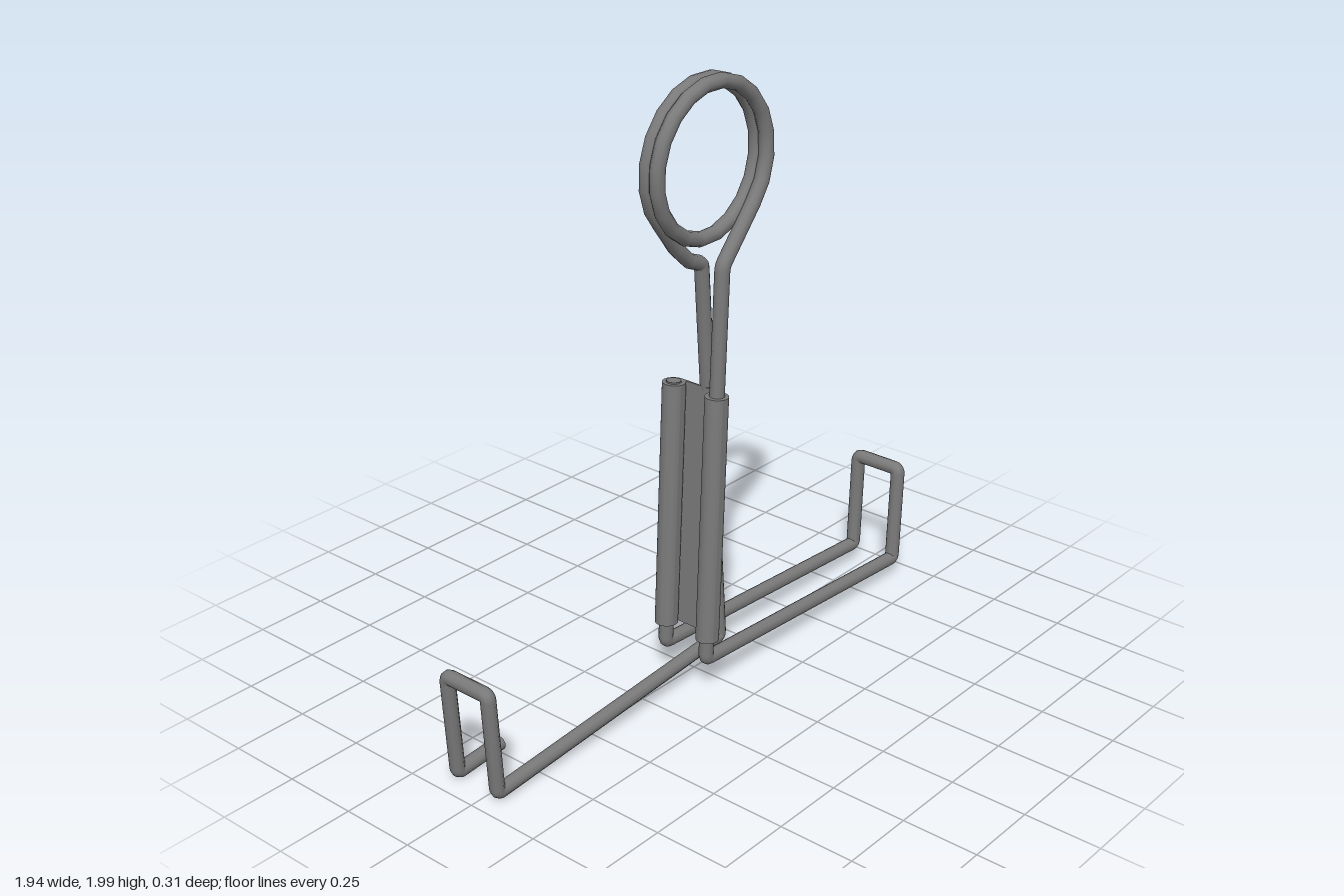
import * as THREE from 'three';
import { toCreasedNormals } from 'three/addons/utils/BufferGeometryUtils.js';

const material = new THREE.MeshStandardMaterial({ color: 0x7a7a7a });
const V = (x, y, z) => new THREE.Vector3(x, y, z);
const WIRE = 0.0235;

// Path through a list of points, one tube ring per point
class PointPath extends THREE.Curve {
  constructor(points) { super(); this.points = points; }
  getPointAt(u, target = new THREE.Vector3()) {
    return target.copy(this.points[Math.round(u * (this.points.length - 1))]);
  }
  getPoint(u, target) { return this.getPointAt(u, target); }
  getTangentAt(u, target = new THREE.Vector3()) {
    const p = this.points, i = Math.round(u * (p.length - 1));
    const here = p[i], before = p[Math.max(i - 1, 0)], after = p[Math.min(i + 1, p.length - 1)];
    const a = here.clone().sub(before).normalize(), b = after.clone().sub(here).normalize();
    return target.copy(a.add(b)).normalize();
  }
}

// Replace sharp corners by small bends
function bend(points, size) {
  const out = [points[0]];
  for (let i = 1; i < points.length - 1; i++) {
    const p = points[i];
    const a = points[i - 1].clone().sub(p), b = points[i + 1].clone().sub(p);
    if (Math.PI - a.angleTo(b) < 0.4) { out.push(p); continue; }
    const from = p.clone().addScaledVector(a.clone().normalize(), Math.min(size, a.length() * 0.4));
    const to = p.clone().addScaledVector(b.clone().normalize(), Math.min(size, b.length() * 0.4));
    out.push(...new THREE.QuadraticBezierCurve3(from, p, to).getPoints(5));
  }
  out.push(points[points.length - 1]);
  return out;
}

function addMesh(parent, geometry, name) {
  const mesh = new THREE.Mesh(geometry, material);
  mesh.name = name;
  parent.add(mesh);
  return mesh;
}

export function createModel() {
  const group = new THREE.Group();
  group.name = 'wireStand';

  // Two-turn coil, from the front leg round to the back leg
  const coil = [], steps = 35, start = -Math.PI / 4, sweep = Math.PI * 3.5;
  for (let i = 0; i <= steps; i++) {
    const t = i / steps, a = start + sweep * t;
    coil.push(V(-0.037 + 0.234 * Math.cos(a), 1.742 + 0.234 * Math.sin(a), 0.118 - 0.068 * t));
  }

  // One continuous wire: double right arm, front leg, coil, back leg, left arm with hook
  const points = bend([
    V(-0.037, 1.015, -0.049), V(-0.082, 0.12, -0.049),
    V(0.93, 0.062, -0.049), V(0.945, 0.4, -0.049),
    V(0.945, 0.4, 0.118), V(0.93, 0.062, 0.118),
    V(-0.082, 0.12, 0.118), V(-0.015, 1.42, 0.122),
    ...coil,
    V(-0.135, 1.49, 0.046), V(-0.075, 1.435, 0.044), V(-0.015, 1.41, 0.042), V(0.083, 0.1, 0.036),
    V(-0.927, 0.026, 0.036), V(-0.949, 0.365, 0.036),
    V(-0.949, 0.365, -0.13), V(-0.927, 0.026, -0.13), V(-0.75, 0.039, -0.13),
  ], 0.018);
  const path = new PointPath(points);
  addMesh(group, new THREE.TubeGeometry(path, points.length - 1, WIRE, 10, false), 'wire');

  // Flat ends of the wire
  for (const [u, sign] of [[0, -1], [1, 1]]) {
    const cap = addMesh(group, new THREE.CircleGeometry(WIRE, 10), 'wireEnd');
    cap.position.copy(path.getPointAt(u));
    cap.quaternion.setFromUnitVectors(V(0, 0, 1), path.getTangentAt(u).multiplyScalar(sign));
  }

  // Sleeve: two tubes joined by a thin web on the left side
  const r = 0.037, web = 0.007, a = Math.asin((r - web) / r);
  const profile = new THREE.Shape();
  profile.absarc(0.12, 0, r, Math.PI / 2, -Math.PI - a, true);
  profile.absarc(-0.049, 0, r, a, -Math.PI * 1.5, true);
  profile.closePath();
  const sleeve = new THREE.ExtrudeGeometry(profile, { depth: 0.82, bevelEnabled: false, curveSegments: 20 });
  sleeve.applyMatrix4(new THREE.Matrix4().makeBasis(V(0, 0, 1), V(1, 0, 0), V(0, 1, 0)));
  const grip = addMesh(group, toCreasedNormals(sleeve, 0.7), 'gripSleeve');
  grip.position.set(-0.078, 0.191, 0);
  grip.rotation.z = -Math.atan2(0.067, 1.3);

  return group;
}
